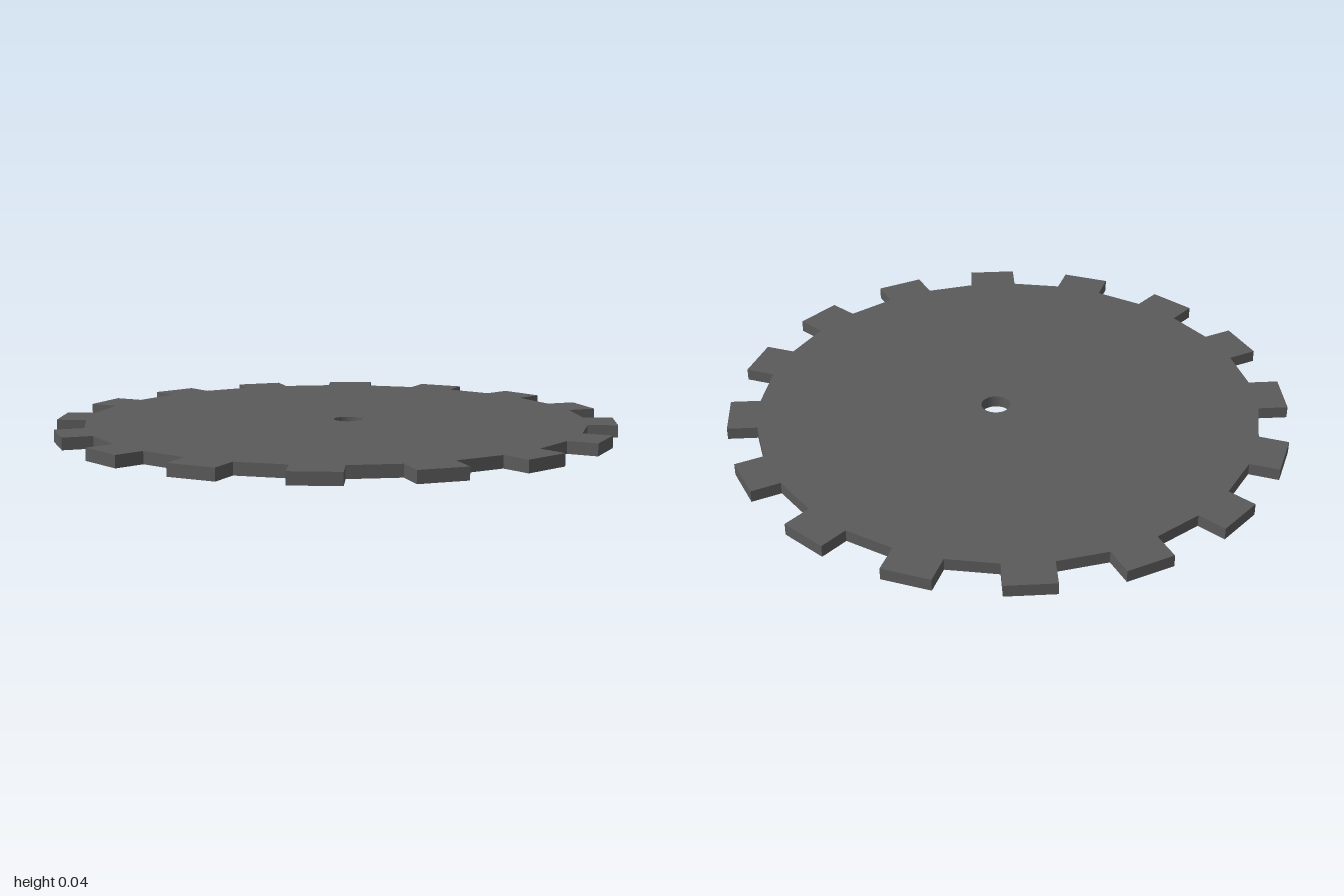
import * as THREE from 'three';

const TEETH = 16;
const THICKNESS = 0.043;
const TIP = 0.996;         // distance from centre to the flat tooth tip
const ROOT = 0.89;         // distance from centre to the tooth base
const HALF_WIDTH = 0.086;  // half the width of a tooth
const PITCH = (Math.PI * 2) / TEETH;

// Outline of square-cut, straight-sided teeth joined by straight root edges
function gearOutline() {
  const corners = [[ROOT, -HALF_WIDTH], [TIP, -HALF_WIDTH], [TIP, HALF_WIDTH], [ROOT, HALF_WIDTH]];
  const points = [];
  for (let i = 0; i < TEETH; i++) {
    const angle = (i + 0.25) * PITCH;
    for (const [r, w] of corners) {
      points.push(new THREE.Vector2(r, w).rotateAround(new THREE.Vector2(), angle));
    }
  }
  return new THREE.Shape(points);
}

export function createModel() {
  const group = new THREE.Group();
  group.name = 'gear';

  // Slightly off-centre round axle hole
  const shape = gearOutline();
  shape.holes.push(new THREE.Path().absarc(0.032, -0.032, 0.052, 0, Math.PI * 2, true));

  // Flat plate, laid down so its thickness runs along y
  const geometry = new THREE.ExtrudeGeometry(shape, {
    depth: THICKNESS, bevelEnabled: false, curveSegments: 32,
  });
  geometry.rotateX(-Math.PI / 2);

  const plate = new THREE.Mesh(geometry, new THREE.MeshStandardMaterial({ color: 0x5a5a5a }));
  plate.name = 'toothedPlate';
  group.add(plate);
  return group;
}
